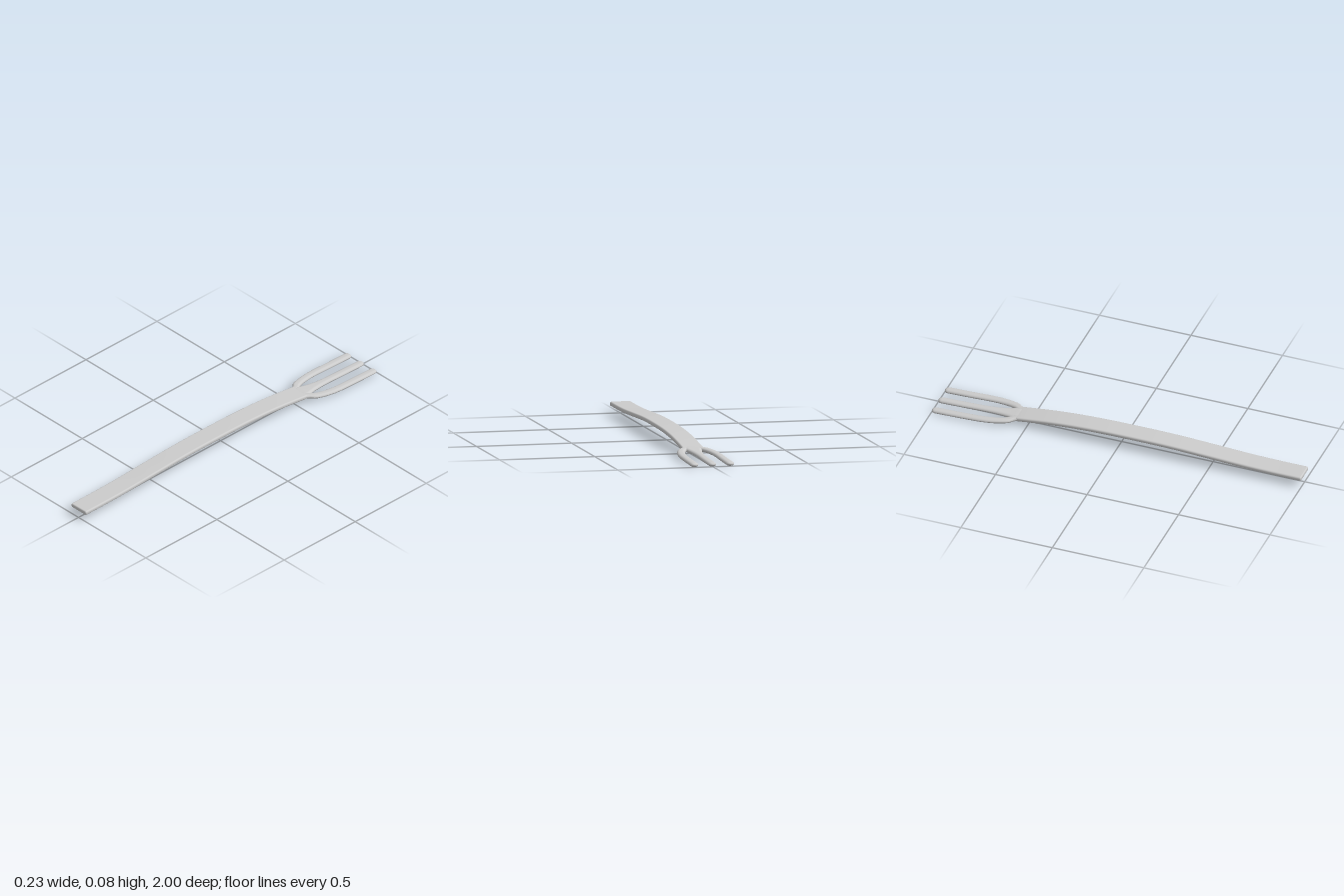
import * as THREE from 'three';

// Height of the centre line along z
const SPINE_Z = [-1, -0.8, -0.6, -0.5, -0.4, -0.3, -0.15, 0, 0.28, 0.5, 0.7, 0.85, 1];
const SPINE_Y = [0.011, 0.017, 0.028, 0.040, 0.052, 0.061, 0.069, 0.072, 0.071, 0.062, 0.053, 0.05, 0.05];
const spine = new THREE.CubicInterpolant(SPINE_Z, SPINE_Y, 1, [0]);
const spineY = (z) => spine.evaluate(z)[0];

const CORNER_STEPS = 5;

// Rounded rectangle, counter-clockwise as seen from +z
function ring({ x, z, w, h, rx, ry }) {
  const pts = [];
  const y = spineY(z);
  for (let q = 0; q < 4; q++) {
    const sx = q === 0 || q === 3 ? 1 : -1;
    const sy = q < 2 ? 1 : -1;
    for (let k = 0; k <= CORNER_STEPS; k++) {
      const a = (q + k / CORNER_STEPS) * Math.PI / 2;
      pts.push([x + sx * (w - rx) + rx * Math.cos(a), y + sy * (h - ry) + ry * Math.sin(a), z]);
    }
  }
  return pts;
}

// Skin through sections ordered from +z to -z, closed at both ends
function loft(sections) {
  const n = 4 * (CORNER_STEPS + 1);
  const pos = [];
  const idx = [];
  sections.forEach((s) => ring(s).forEach((p) => pos.push(...p)));
  for (let i = 0; i < sections.length - 1; i++) {
    for (let j = 0; j < n; j++) {
      const a = i * n + j;
      const b = i * n + (j + 1) % n;
      idx.push(a, a + n, b, b, a + n, b + n);
    }
  }
  [sections[0], sections[sections.length - 1]].forEach((s, end) => {
    const c = pos.length / 3;
    const base = end ? (sections.length - 1) * n : 0;
    pos.push(s.x, spineY(s.z), s.z);
    for (let j = 0; j < n; j++) {
      const a = base + j;
      const b = base + (j + 1) % n;
      if (end) idx.push(c, b, a);
      else idx.push(c, a, b);
    }
  });
  const g = new THREE.BufferGeometry();
  g.setAttribute('position', new THREE.Float32BufferAttribute(pos, 3));
  g.setIndex(idx);
  g.computeVertexNormals();
  return g;
}

// Flat strip with small rounded edges and a softened front end
function handleSections() {
  const out = [];
  const add = (z, inset) => out.push({
    x: 0, z, w: 0.056 - inset, h: 0.0115 - inset, rx: 0.009 - inset, ry: 0.009 - inset,
  });
  for (let k = 4; k >= 0; k--) {
    const a = (k / 4) * Math.PI / 2;
    add(1 - 0.007 * (1 - Math.sin(a)), 0.007 * (1 - Math.cos(a)));
  }
  for (let i = 1; i <= 40; i++) add(0.993 - (1.543 * i) / 40, 0);
  add(-0.575, 0.002);
  add(-0.59, 0.006);
  return out;
}

// Tine from [z, inner x, outer x] stations, ending in a rounded tip
function tineSections(stations) {
  const out = [];
  const add = (z, x, w, h) => out.push({ x, z, w, h, rx: Math.min(w * 0.75, 0.017), ry: h });
  stations.forEach(([z, a, b]) => add(z, (a + b) / 2, (b - a) / 2, 0.011));
  const [, a, b] = stations[stations.length - 1];
  for (let k = 1; k <= 6; k++) {
    const t = (k / 6) * 1.5;
    const s = Math.cos(t);
    add(-0.98 - 0.02 * Math.sin(t), (a + b) / 2, s * (b - a) / 2, 0.011 * s);
  }
  return out;
}

export function createModel() {
  const model = new THREE.Group();
  model.name = 'fork';
  const material = new THREE.MeshStandardMaterial({ color: 0xcccccc });
  const part = (name, sections) => {
    const mesh = new THREE.Mesh(loft(sections), material);
    mesh.name = name;
    model.add(mesh);
  };

  part('handle', handleSections());

  // Middle tine flares into the neck
  const middle = [[-0.54, 0.045], [-0.58, 0.045], [-0.605, 0.038], [-0.64, 0.03],
    [-0.69, 0.024], [-0.75, 0.021], [-0.85, 0.021], [-0.98, 0.021]];
  part('middleTine', tineSections(middle.map(([z, w]) => [z, -w, w])));

  // Outer tines sweep out of the neck, then run straight
  const outer = [[-0.535, 0.015, 0.052], [-0.555, 0.018, 0.057], [-0.57, 0.022, 0.067],
    [-0.585, 0.032, 0.082], [-0.6, 0.045, 0.09], [-0.63, 0.057, 0.099], [-0.66, 0.064, 0.106],
    [-0.7, 0.07, 0.112], [-0.75, 0.073, 0.115], [-0.85, 0.073, 0.115], [-0.98, 0.073, 0.115]];
  part('leftTine', tineSections(outer));
  part('rightTine', tineSections(outer.map(([z, a, b]) => [z, -b, -a])));

  return model;
}
